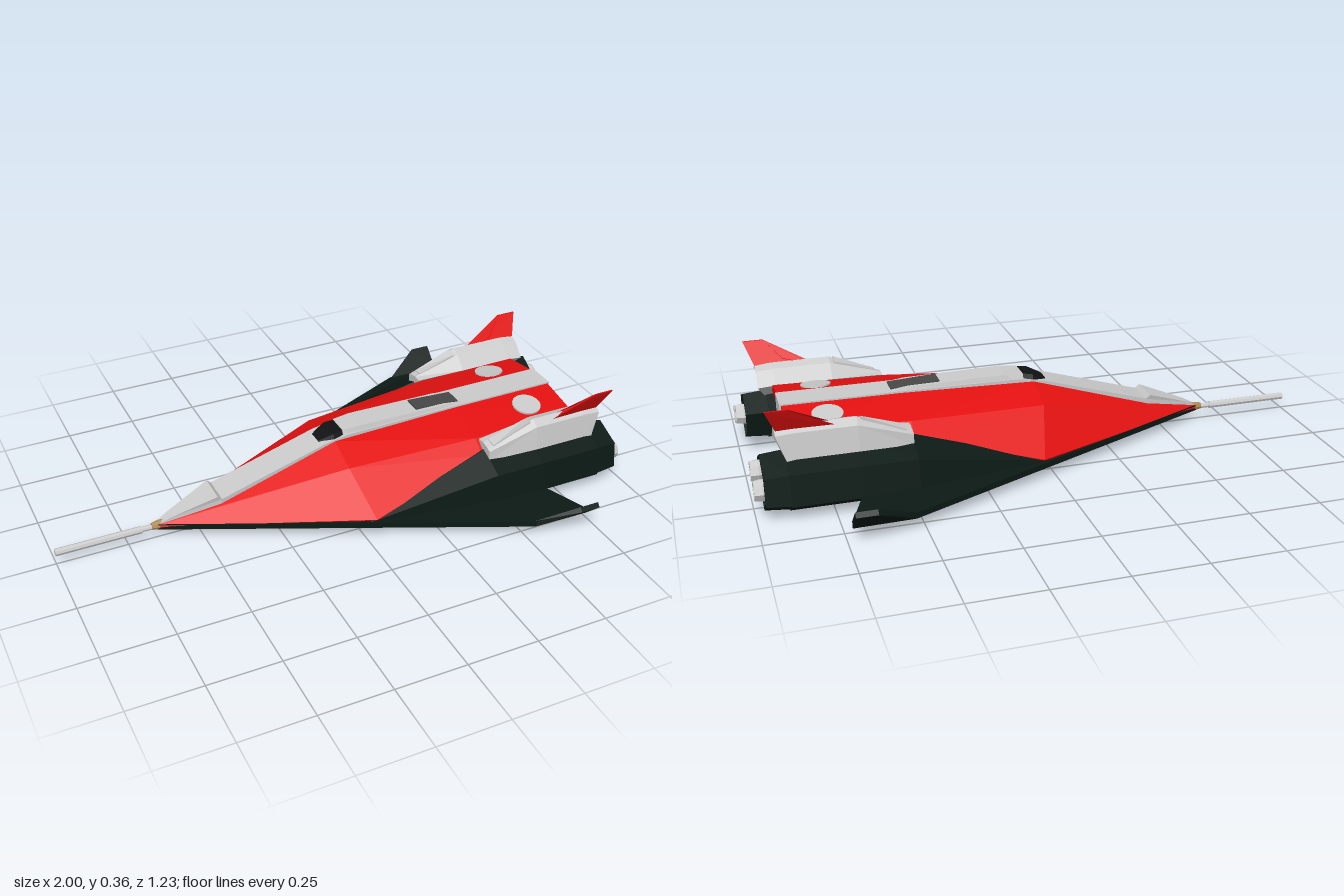
import * as THREE from 'three';

const material = (color) => new THREE.MeshStandardMaterial({ color, flatShading: true });
const grey = material(0xcccccc), red = material(0xe41010), green = material(0x0c1a15);
const black = material(0x101214), darkGrey = material(0x484848), brass = material(0xb08a55);

// Skin through rings of [x, y, z] points, closed at both ends and turned outward.
function loft(rings) {
  const tris = [], n = rings[0].length;
  const add = (...pts) => tris.push(pts.map((p) => new THREE.Vector3(...p)));
  for (let i = 0; i < rings.length - 1; i++) {
    for (let j = 0; j < n; j++) {
      const k = (j + 1) % n, a = rings[i], b = rings[i + 1];
      add(a[j], a[k], b[k]);
      add(a[j], b[k], b[j]);
    }
  }
  const first = rings[0], last = rings[rings.length - 1];
  for (let j = 1; j < n - 1; j++) {
    add(first[0], first[j + 1], first[j]);
    add(last[0], last[j], last[j + 1]);
  }
  const cross = new THREE.Vector3();
  const solid = tris.filter(([a, b, c]) => cross.subVectors(b, a).cross(c.clone().sub(a)).length() > 1e-9);
  const volume = solid.reduce((v, [a, b, c]) => v + a.dot(cross.crossVectors(b, c)), 0);
  const points = solid.flatMap(([a, b, c]) => (volume < 0 ? [a, c, b] : [a, b, c]));
  const geo = new THREE.BufferGeometry().setFromPoints(points);
  geo.computeVertexNormals();
  return geo;
}

// Ring in the y-z plane at x, from [z, y] pairs, scaled about a centre.
const ring = (x, pairs, s = 1, cz = 0, cy = 0) =>
  pairs.map(([z, y]) => [x, cy + (y - cy) * s, cz + (z - cz) * s]);

export function createModel() {
  const model = new THREE.Group();
  const add = (name, geo, mat) => {
    const mesh = new THREE.Mesh(geo, mat);
    mesh.name = name;
    model.add(mesh);
    return mesh;
  };
  const rod = (name, x0, x1, y, z, r0, r1, mat, sides = 8) => {
    const geo = new THREE.CylinderGeometry(r1, r0, x1 - x0, sides).rotateZ(-Math.PI / 2);
    add(name, geo, mat).position.set((x0 + x1) / 2, y, z);
  };

  // Flat delta wing plate
  const half = [[-0.645, 0.012], [0.53, 0.54], [0.73, 0.54], [0.67, 0.38], [0.6, 0.2]];
  const outline = [...half, ...half.map(([x, z]) => [x, -z]).reverse()];
  const plate = new THREE.ExtrudeGeometry(
    new THREE.Shape(outline.map((p) => new THREE.Vector2(...p))), { depth: 0.02, bevelEnabled: false });
  add('deltaWing', plate.rotateX(Math.PI / 2).translate(0, 0.061, 0), green);

  // Grey centre band wrapped over the top, tail and belly
  const side = [[-0.645, 0.043], [-0.645, 0.06], [-0.6, 0.083], [-0.44, 0.143], [-0.425, 0.13], [-0.04, 0.246],
    [0.05, 0.262], [0.48, 0.268], [0.876, 0.27], [0.876, 0.208], [0.606, 0.036], [-0.45, 0.036]];
  const band = new THREE.ExtrudeGeometry(
    new THREE.Shape(side.map((p) => new THREE.Vector2(...p))), { depth: 0.11, bevelEnabled: false });
  band.translate(0, 0, -0.055);
  const pos = band.attributes.position;
  for (let i = 0; i < pos.count; i++) {
    pos.setZ(i, pos.getZ(i) * THREE.MathUtils.clamp((pos.getX(i) + 0.69) / 0.25, 0.15, 1));
  }
  band.computeVertexNormals();
  add('centreBand', band, grey);

  // Cockpit glass, raised spine and its dark hatch
  const hump = (x, y, top, base) => ring(x, [[-base, 0.235], [-top, y], [top, y], [base, 0.235]]);
  add('canopy', loft([hump(-0.05, 0.247, 0.025, 0.04), hump(0, 0.27, 0.042, 0.058), hump(0.05, 0.277, 0.035, 0.056)]), black);
  add('spine', loft([hump(0.035, 0.276, 0.04, 0.056), hump(0.1, 0.281, 0.045, 0.056),
    hump(0.44, 0.277, 0.045, 0.056), hump(0.52, 0.267, 0.045, 0.056)]), grey);
  add('hatch', loft([0.33, 0.5].map((x, i) => ring(x,
    [[-0.033, 0.25], [-0.033, 0.283 - i * 0.009], [0.033, 0.283 - i * 0.009], [0.033, 0.25]]))), darkGrey);

  // Nose probe
  rod('noseCone', -0.665, -0.62, 0.052, 0, 0.012, 0.02, brass);
  rod('probeBase', -0.71, -0.66, 0.05, 0, 0.009, 0.01, grey);
  rod('probe', -1, -0.7, 0.05, 0, 0.013, 0.013, grey);

  // Belly disc and gun cluster
  add('bellyDisc', new THREE.CylinderGeometry(0.095, 0.095, 0.016, 24), grey).position.set(0.13, 0.034, 0);
  add('gunMount', new THREE.BoxGeometry(0.26, 0.02, 0.07), grey).position.set(-0.25, 0.032, 0);
  for (const z of [-0.026, 0, 0.026]) {
    const y = z ? 0.021 : 0.015;
    rod('gunBody', -0.3, -0.16, y, z, 0.012, 0.012, grey);
    rod('gunBarrel', -0.39, -0.3, y + 0.006, z, 0.005, 0.005, grey);
  }

  for (const s of [1, -1]) {
    const prefix = s > 0 ? 'left' : 'right';
    const flip = (rings) => loft(rings.map((r) => r.map(([x, y, z]) => [x, y, z * s])));

    // Half of the red hull, its tail undercut toward the belly
    const belly = [[0.6, 0.05, 0.24], [0.6, 0.05, 0]];
    const tail = (y) => [[0.87, y[0], 0], [0.87, y[0], 0.055], [0.87, y[1], 0.2], [0.87, 0.21, 0.235], ...belly];
    add(prefix + 'Hull', flip([
      ring(-0.64, [[0, 0.062], [0.008, 0.062], [0.012, 0.06], [0.016, 0.055], [0.014, 0.048], [0, 0.048]]),
      [[0, 0.248, 0], [0, 0.248, 0.055], [0, 0.205, 0.17], [0.04, 0.068, 0.31], [0.04, 0.05, 0.3], [0.04, 0.05, 0]],
      ring(0.47, [[0, 0.262], [0.055, 0.262], [0.215, 0.226], [0.265, 0.185], [0.25, 0.05], [0, 0.05]]),
      tail([0.265, 0.24]),
      tail([0.21, 0.21]),
    ]), red);

    // Round cover on the rear deck
    const cover = add(prefix + 'DeckCover', new THREE.CylinderGeometry(0.052, 0.052, 0.012, 20), grey);
    cover.position.set(0.73, 0.25, s * 0.132);
    cover.rotation.x = s * 0.17;

    // Upturned wing tip
    add(prefix + 'WingTip', flip([
      [[0.53, 0.041, 0.54], [0.73, 0.041, 0.545], [0.73, 0.061, 0.535], [0.53, 0.061, 0.535]],
      [[0.66, 0.112, 0.617], [0.73, 0.112, 0.617], [0.73, 0.126, 0.605], [0.66, 0.126, 0.605]],
    ]), green);

    // Six-sided engine nacelle with tapered nose
    const hex = [[0.385, 0.057], [0.37, 0.16], [0.258, 0.207], [0.165, 0.155], [0.185, 0.055], [0.3, 0.005]];
    const hexRing = (x, k) => ring(x, hex, k, 0.277, 0.105);
    add(prefix + 'Nacelle', flip([
      ring(0.02, hex, 0.08, 0.3, 0.052), hexRing(0.48, 0.95), hexRing(0.66, 1),
      hexRing(0.89, 1), hexRing(0.89, 0.96), hexRing(0.97, 0.89),
      hexRing(0.97, 0.78), hexRing(0.955, 0.78),
    ]), green);
    add(prefix + 'EnginePlate', flip([hexRing(0.94, 0.77), hexRing(0.962, 0.77)]), grey);

    // Paired hollow nozzles
    for (const [z, y] of [[0.317, 0.098], [0.238, 0.13]]) {
      const profile = [[0.034, 0], [0.038, 0.02], [0.034, 0.045], [0.027, 0.045], [0.024, 0.02], [0, 0.02]];
      const nozzle = new THREE.LatheGeometry(profile.map((p) => new THREE.Vector2(...p)), 8);
      const mesh = add(prefix + 'Nozzle', nozzle.rotateZ(-Math.PI / 2), grey);
      mesh.material = grey.clone();
      mesh.material.side = THREE.DoubleSide;
      mesh.position.set(0.955, y, s * z);
    }

    // Wedge-fronted fin pod with its sloping intake panel
    const podRear = [[0.322, 0.19], [0.31, 0.275], [0.28, 0.294], [0.247, 0.282], [0.203, 0.236], [0.245, 0.185]];
    add(prefix + 'FinPod', flip([
      ring(0.48, [[0.3, 0.18], [0.298, 0.215], [0.28, 0.222], [0.25, 0.228], [0.222, 0.225], [0.24, 0.18]]),
      ring(0.66, podRear), ring(0.86, podRear),
      ring(0.92, podRear).map(([x, y, z]) => [y < 0.2 ? 0.89 : x, y - 0.004, z]),
    ]), grey);
    add(prefix + 'IntakePanel', flip([
      [[0.5, 0.231, 0.288], [0.5, 0.236, 0.25], [0.645, 0.283, 0.252], [0.645, 0.291, 0.288]],
      [[0.5, 0.21, 0.288], [0.5, 0.21, 0.25], [0.645, 0.25, 0.252], [0.645, 0.25, 0.288]],
    ]), grey);

    // Swept, outward leaning fin
    const fin = [[0.72, 0.277, 0.283], [0.82, 0.303, 0.291], [0.88, 0.364, 0.329], [0.95, 0.364, 0.329], [0.915, 0.277, 0.28]];
    const thickness = (k) => fin.map(([x, y, z]) => [x, y, z + k * (y > 0.35 ? 0.003 : 0.011)]);
    add(prefix + 'Fin', flip([thickness(-1), thickness(1)]), red);
  }
  return model;
}
